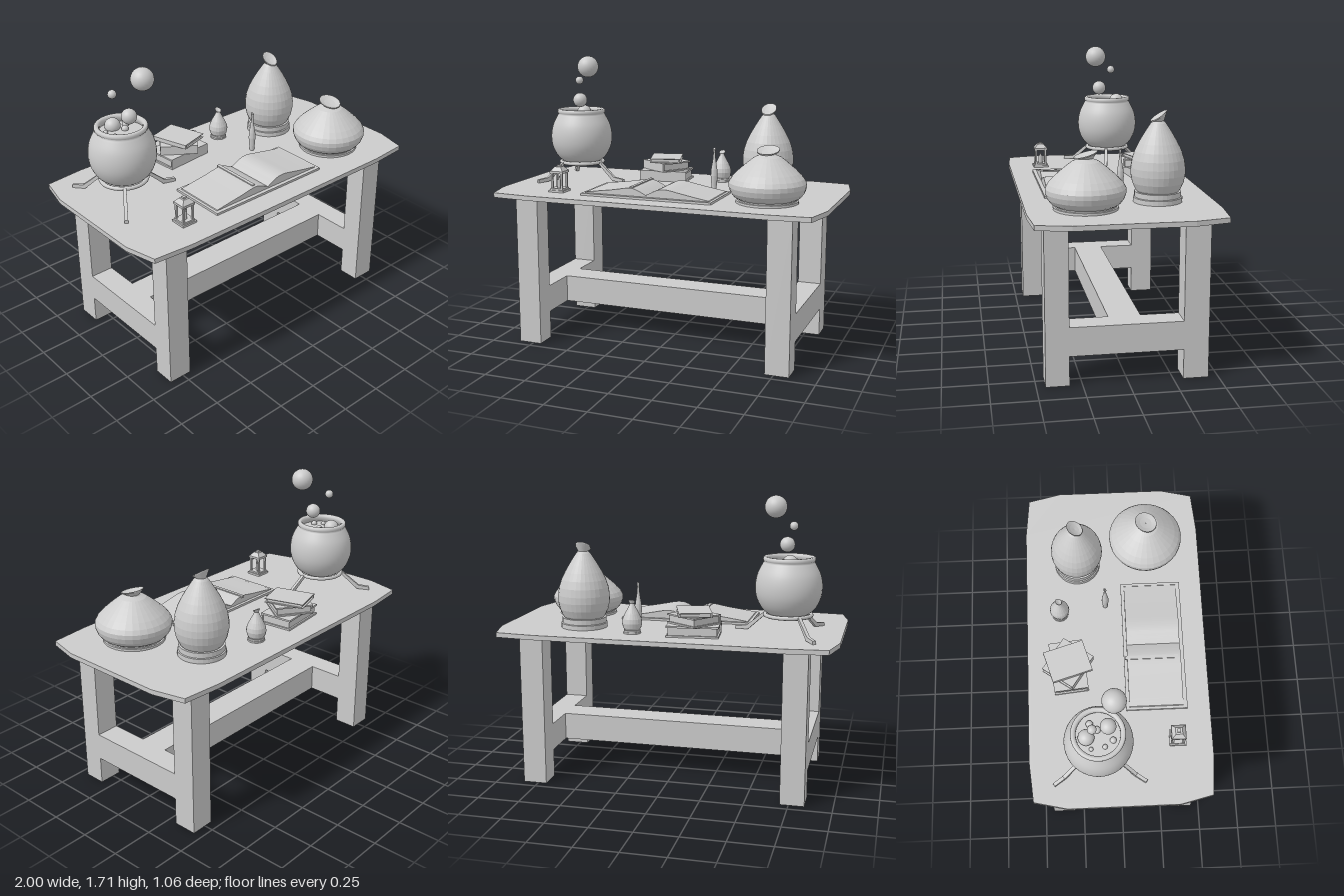
import * as THREE from 'three';

const TOP = 0.925; // height of the table surface
const smooth = new THREE.MeshStandardMaterial({ color: 0xcccccc, side: THREE.DoubleSide });
const flat = new THREE.MeshStandardMaterial({ color: 0xcccccc, side: THREE.DoubleSide, flatShading: true });
const v2 = (pts) => pts.map(([x, y]) => new THREE.Vector2(x, y));

function add(parent, name, geometry, x = 0, y = 0, z = 0, material = flat) {
  const mesh = new THREE.Mesh(geometry, material);
  mesh.name = name;
  mesh.position.set(x, y, z);
  parent.add(mesh);
  return mesh;
}

function group(parent, name, x = 0, y = 0, z = 0) {
  const g = new THREE.Group();
  g.name = name;
  g.position.set(x, y, z);
  parent.add(g);
  return g;
}

// Box given by its minimum and maximum corners
function box(parent, name, [x0, y0, z0], [x1, y1, z1]) {
  const geo = new THREE.BoxGeometry(x1 - x0, y1 - y0, z1 - z0);
  return add(parent, name, geo, (x0 + x1) / 2, (y0 + y1) / 2, (z0 + z1) / 2);
}

function buildTable(root) {
  const table = group(root, 'table');
  const outline = new THREE.Shape(v2([
    [-0.72, -0.527], [0.72, -0.527], [0.955, -0.508], [1, -0.32], [1, 0.32], [0.955, 0.513],
    [0.72, 0.535], [-0.72, 0.535], [-0.955, 0.513], [-1, 0.32], [-1, -0.32], [-0.955, -0.508],
  ]));
  const slab = new THREE.ExtrudeGeometry(outline, { depth: 0.028, bevelEnabled: false });
  slab.rotateX(-Math.PI / 2);
  add(table, 'tableTop', slab, 0, TOP - 0.028, 0);
  for (const s of [-1, 1]) {
    const x0 = s < 0 ? -0.84 : 0.7, x1 = x0 + 0.14;
    box(table, 'frontLeg', [x0, 0, 0.32], [x1, 0.9, 0.45]);
    box(table, 'backLeg', [x0, 0, -0.445], [x1, 0.9, -0.305]);
    box(table, 'sideRail', [x0, 0.167, -0.305], [x1, 0.33, 0.32]);
  }
  box(table, 'stretcher', [-0.7, 0.167, -0.09], [0.7, 0.33, 0.09]);
}

function buildCauldron(root) {
  const g = group(root, 'cauldron', -0.685, 0, -0.13);
  const profile = new THREE.SplineCurve(v2([
    [0.001, 1.015], [0.08, 1.025], [0.145, 1.065], [0.182, 1.13], [0.192, 1.2], [0.18, 1.27], [0.148, 1.335],
  ])).getPoints(28);
  // Outer wall, rounded rim and inner wall
  profile.push(...v2([
    [0.143, 1.342], [0.148, 1.346], [0.15, 1.355], [0.148, 1.365], [0.142, 1.37], [0.13, 1.37],
    [0.122, 1.362], [0.12, 1.35], [0.125, 1.335], [0.15, 1.29],
  ]));
  add(g, 'cauldronPot', new THREE.LatheGeometry(profile, 40), 0, 0, 0, smooth);
  const liquid = new THREE.CircleGeometry(0.137, 40).rotateX(-Math.PI / 2);
  add(g, 'liquid', liquid, 0, 1.325, 0, smooth);

  // Tripod stand
  const ring = new THREE.TorusGeometry(0.132, 0.012, 8, 40).rotateX(Math.PI / 2);
  add(g, 'standRing', ring, 0, 1.035, 0, smooth);
  const side = new THREE.Shape(v2([
    [0.12, 1.04], [0.145, 1.04], [0.25, 0.953], [0.318, 0.945], [0.318, TOP], [0.24, 0.93],
  ]));
  const legGeo = new THREE.ExtrudeGeometry(side, { depth: 0.02, bevelEnabled: false }).translate(0, 0, -0.01);
  for (const angle of [11, 124, 236]) {
    add(g, 'standLeg', legGeo, 0, 0, 0).rotation.y = -THREE.MathUtils.degToRad(angle);
  }

  // Bubbles: x, y, z, radius
  for (const [x, y, z, r] of [
    [0.095, 1.64, 0.09, 0.065], [-0.025, 1.545, -0.03, 0.025], [0.02, 1.43, 0.055, 0.044],
    [-0.012, 1.34, -0.065, 0.045], [0.062, 1.335, -0.045, 0.02], [-0.065, 1.33, 0.035, 0.014],
    [0.03, 1.33, -0.005, 0.02], [-0.03, 1.33, 0.08, 0.018], [-0.075, 1.33, -0.04, 0.012],
  ]) add(g, 'bubble', new THREE.SphereGeometry(r, 24, 16), x, y, z, smooth);
}

function buildLantern(root) {
  const g = group(root, 'lantern', -0.613, TOP, 0.325);
  box(g, 'lanternBase', [-0.048, 0, -0.048], [0.048, 0.012, 0.048]);
  box(g, 'lanternFoot', [-0.04, 0.012, -0.04], [0.04, 0.022, 0.04]);
  for (const x of [-0.031, 0.031]) for (const z of [-0.031, 0.031]) {
    box(g, 'lanternPost', [x - 0.006, 0.022, z - 0.006], [x + 0.006, 0.115, z + 0.006]);
  }
  box(g, 'lanternCap', [-0.042, 0.112, -0.042], [0.042, 0.125, 0.042]);
  const roof = new THREE.CylinderGeometry(0.028, 0.058, 0.025, 4).rotateY(Math.PI / 4);
  add(g, 'lanternRoof', roof, 0, 0.137, 0);
  box(g, 'lanternKnob', [-0.01, 0.149, -0.01], [0.01, 0.16, 0.01]);
  add(g, 'candle', new THREE.CylinderGeometry(0.014, 0.014, 0.05, 12), 0, 0.047, 0, smooth);
  add(g, 'flame', new THREE.ConeGeometry(0.008, 0.025, 8), 0, 0.085, 0, smooth);
}

function buildOpenBook(root) {
  const g = group(root, 'openBook');
  box(g, 'bookCover', [-0.44, TOP, 0.037], [0.36, TOP + 0.013, 0.395]);
  // Page block: two humps meeting at the spine
  const pages = new THREE.Shape();
  pages.moveTo(-0.425, 0.936);
  pages.lineTo(-0.42, 0.942);
  pages.splineThru(v2([[-0.34, 0.954], [-0.24, 0.968], [-0.16, 0.982], [-0.12, 0.982], [-0.08, 0.968], [-0.04, 0.948]]));
  pages.splineThru(v2([[0, 0.968], [0.04, 0.985], [0.09, 0.987], [0.16, 0.974], [0.25, 0.957], [0.34, 0.942]]));
  pages.lineTo(0.345, 0.936);
  const geo = new THREE.ExtrudeGeometry(pages, { depth: 0.316, bevelEnabled: false, curveSegments: 4 });
  add(g, 'pages', geo, 0, 0, 0.056);
  box(g, 'bookmark', [-0.145, 0.976, 0.043], [-0.125, 0.989, 0.355]);
}

// Closed book: two covers, a spine and a recessed page block
function buildBook(root, y, w, h, d, turn) {
  const g = group(root, 'closedBook', -0.168, y, -0.292);
  const t = h * 0.16;
  g.rotation.y = turn;
  box(g, 'lowerCover', [-w / 2, 0, -d / 2], [w / 2, t, d / 2]);
  box(g, 'upperCover', [-w / 2, h - t, -d / 2], [w / 2, h, d / 2]);
  box(g, 'spine', [-w / 2, t, d / 2 - 0.01], [w / 2, h - t, d / 2]);
  box(g, 'pageBlock', [-w / 2 + 0.01, t, -d / 2 + 0.01], [w / 2 - 0.01, h - t, d / 2 - 0.01]);
}

// Lathe-turned bottle; the mouth above slantFrom leans back by slope
function buildBottle(root, name, x, z, points, sides, slantFrom, slope) {
  const geo = new THREE.LatheGeometry(v2(points), sides);
  const pos = geo.attributes.position;
  for (let i = 0; i < pos.count; i++) {
    if (pos.getY(i) > slantFrom) pos.setY(i, pos.getY(i) - slope * pos.getZ(i));
  }
  geo.computeVertexNormals();
  const g = group(root, name, x, 0, z);
  add(g, name + 'Body', geo);
  return g;
}

function addStand(g, r, h) {
  const profile = v2([[0, TOP], [r, TOP], [r, TOP + h * 0.45], [r * 0.95, TOP + h * 0.5], [r * 0.95, TOP + h], [r * 0.8, TOP + h]]);
  add(g, 'bottleStand', new THREE.LatheGeometry(profile, 32));
}

function buildBottles(root) {
  const tall = buildBottle(root, 'tallBottle', 0.515, -0.22, [
    [0.001, 0.96], [0.1, 0.965], [0.125, 0.995], [0.143, 1.035], [0.152, 1.08], [0.152, 1.12], [0.145, 1.165],
    [0.13, 1.21], [0.108, 1.255], [0.085, 1.295], [0.06, 1.335], [0.042, 1.362], [0.03, 1.375],
    [0.045, 1.397], [0.045, 1.404], [0.025, 1.395], [0.001, 1.39],
  ], 32, 1.38, 0.65);
  addStand(tall, 0.137, 0.06);

  const wide = buildBottle(root, 'wideBottle', 0.63, 0.2, [
    [0.001, 0.94], [0.16, 0.942], [0.19, 0.96], [0.209, 0.985], [0.219, 1.015], [0.219, 1.04], [0.205, 1.065],
    [0.178, 1.095], [0.145, 1.125], [0.11, 1.155], [0.075, 1.182], [0.045, 1.195], [0.04, 1.2],
    [0.064, 1.216], [0.064, 1.222], [0.035, 1.212], [0.001, 1.208],
  ], 32, 1.201, 0.28);
  addStand(wide, 0.178, 0.03);

  const small = buildBottle(root, 'smallBottle', 0.187, -0.335, [
    [0.001, 0.935], [0.038, 0.938], [0.052, 0.958], [0.058, 0.985], [0.054, 1.01], [0.041, 1.04], [0.025, 1.07],
    [0.015, 1.09], [0.012, 1.098], [0.019, 1.108], [0.019, 1.112], [0.001, 1.106],
  ], 20, 1.1, 0.5);
  addStand(small, 0.05, 0.02);

  buildBottle(root, 'slimBottle', 0.227, -0.06, [
    [0.001, TOP], [0.014, TOP], [0.015, 0.935], [0.018, 0.97], [0.021, 1.01], [0.019, 1.045], [0.013, 1.08],
    [0.008, 1.115], [0.006, 1.15], [0.009, 1.168], [0.008, 1.172], [0.001, 1.17],
  ], 14, 1.16, 0.6);
}

export function createModel() {
  const root = new THREE.Group();
  root.name = 'potionTable';
  buildTable(root);
  buildCauldron(root);
  buildLantern(root);
  buildOpenBook(root);
  buildBook(root, TOP, 0.3, 0.065, 0.2, 0.1);
  buildBook(root, TOP + 0.065, 0.225, 0.055, 0.21, -0.61);
  buildBook(root, TOP + 0.12, 0.24, 0.025, 0.19, -1.28);
  buildBottles(root);
  return root;
}
